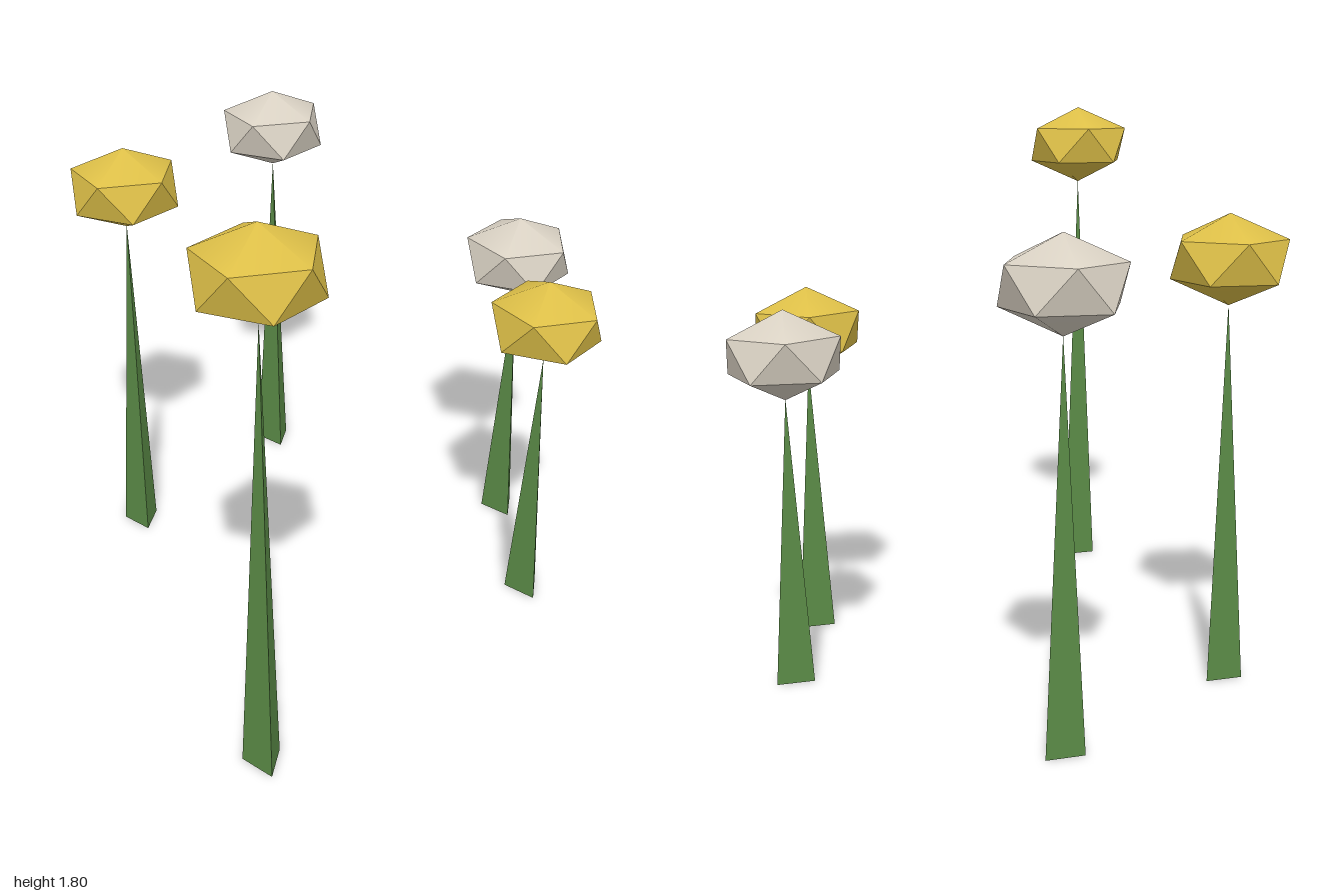
import * as THREE from 'three';
import { ConvexGeometry } from 'three/addons/geometries/ConvexGeometry.js';
import { toCreasedNormals } from 'three/addons/utils/BufferGeometryUtils.js';

const HEAD_RADIUS = 0.183; // radius of the two five-point rings
const HEAD_HALF = 0.143; // half height of a flower head

// Squashed icosahedron standing on a point: two poles and two staggered rings
function headGeometry() {
  const points = [new THREE.Vector3(0, HEAD_HALF, 0), new THREE.Vector3(0, -HEAD_HALF, 0)];
  const ringY = HEAD_HALF / Math.sqrt(5);
  for (let i = 0; i < 5; i++) {
    const a = (i * Math.PI * 2) / 5;
    const x = HEAD_RADIUS * Math.cos(a);
    const z = HEAD_RADIUS * Math.sin(a);
    points.push(new THREE.Vector3(x, ringY, z), new THREE.Vector3(-x, -ringY, -z));
  }
  // Caps are softly shaded, the belt stays faceted
  return toCreasedNormals(new ConvexGeometry(points), 0.65);
}

// Three-sided tapering stem with its flat face to the front
function stemGeometry(height) {
  const geometry = new THREE.ConeGeometry(0.07, height, 3);
  geometry.rotateY(Math.PI);
  geometry.translate(0, height / 2, 0);
  return toCreasedNormals(geometry, 0.5);
}

export function createModel() {
  const stemGreen = new THREE.MeshStandardMaterial({ color: 0x5a8a46 });
  const petalGold = new THREE.MeshStandardMaterial({ color: 0xdec048 });
  const petalCream = new THREE.MeshStandardMaterial({ color: 0xdad2c4 });
  stemGreen.name = 'stemGreen';
  petalGold.name = 'petalGold';
  petalCream.name = 'petalCream';

  const model = new THREE.Group();
  model.name = 'flowerPatch';
  const head = headGeometry();

  // x, z, height of head centre, head colour
  const flowers = [
    [0.56, 0.825, 1.657, petalGold],
    [-0.673, 0.135, 1.362, petalGold],
    [-0.687, -0.65, 1.362, petalCream],
    [0.68, -0.445, 1.067, petalGold],
    [0.32, -0.826, 1.067, petalCream],
  ];

  for (const [x, z, y, material] of flowers) {
    const flower = new THREE.Group();
    flower.name = 'flower';
    flower.position.set(x, 0, z);

    const stem = new THREE.Mesh(stemGeometry(y - HEAD_HALF + 0.005), stemGreen);
    stem.name = 'stem';

    const flowerHead = new THREE.Mesh(head, material);
    flowerHead.name = 'flowerHead';
    flowerHead.position.y = y;

    flower.add(stem, flowerHead);
    model.add(flower);
  }
  return model;
}
